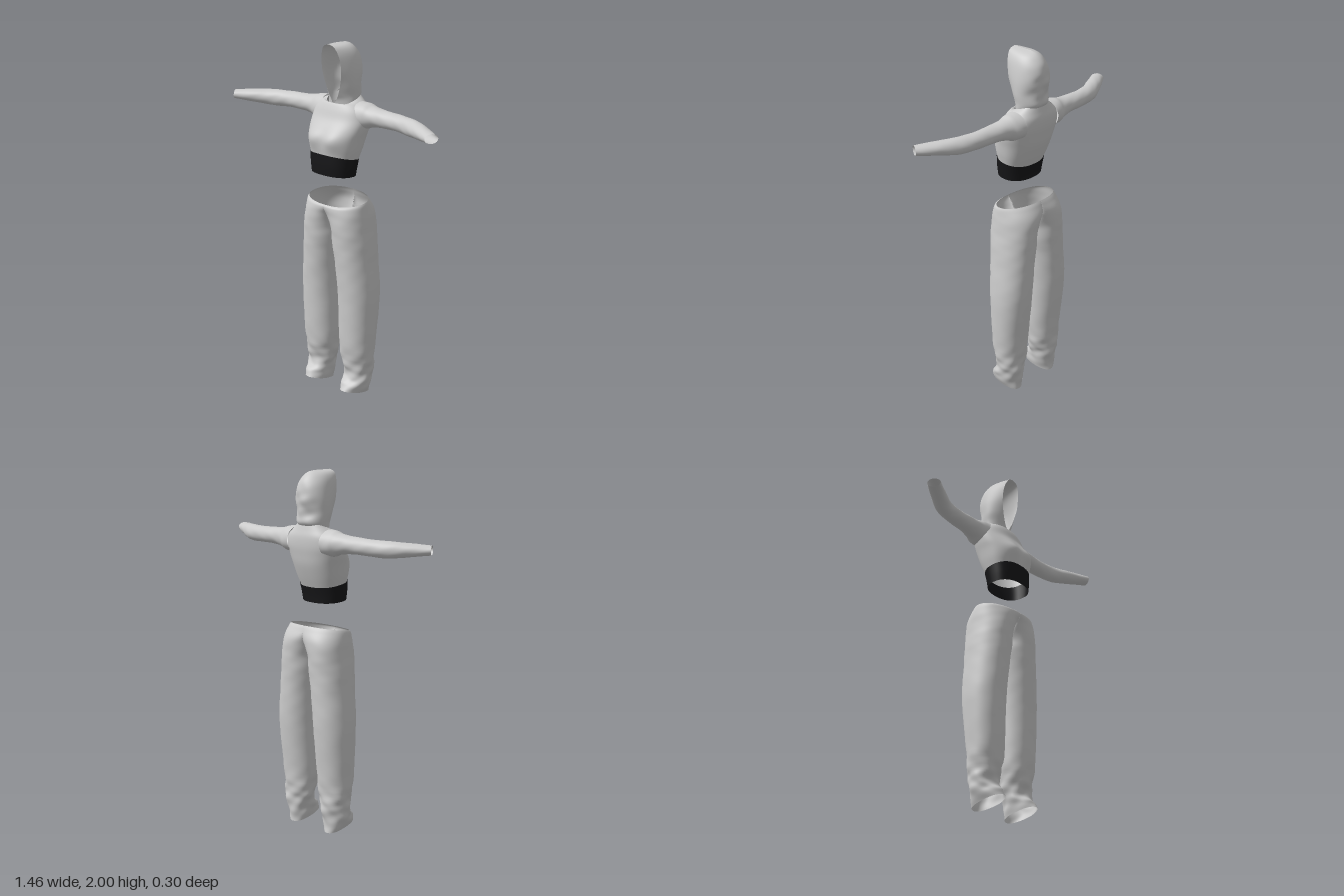
import * as THREE from 'three';

const TAU = Math.PI * 2;

// Smoothly resample rows of section parameters, n steps between neighbours
function resample(keys, n) {
  const rows = [];
  const key = i => keys[Math.min(keys.length - 1, Math.max(0, i))];
  for (let i = 0; i < keys.length - 1; i++) {
    for (let k = 0; k < n; k++) {
      const t = k / n;
      rows.push(keys[i].map((b, c) => {
        const a = key(i - 1)[c], d = key(i + 1)[c], e = key(i + 2)[c];
        return b + 0.5 * t * (d - a + t * (2 * a - 5 * b + 4 * d - e + t * (3 * (b - d) + e - a)));
      }));
    }
  }
  rows.push(keys[keys.length - 1]);
  return rows;
}

// Skin a list of cross-sections; keep() may drop single quads
function loft(rings, { closed = true, flip = false, keep = () => true } = {}) {
  const m = rings[0].length, index = [];
  for (let i = 0; i < rings.length - 1; i++) {
    for (let j = 0; j < (closed ? m : m - 1); j++) {
      const k = (j + 1) % m;
      if (!keep([rings[i][j], rings[i][k], rings[i + 1][k], rings[i + 1][j]])) continue;
      const a = i * m + j, b = i * m + k, c = b + m, d = a + m;
      if (flip) index.push(a, c, b, a, d, c);
      else index.push(a, b, c, a, c, d);
    }
  }
  const g = new THREE.BufferGeometry();
  g.setAttribute('position', new THREE.Float32BufferAttribute(rings.flat(2), 3));
  g.setIndex(index);
  g.computeVertexNormals();
  return g;
}

const angles = n => Array.from({ length: n }, (_, i) => i / n * TAU);
const soft = (v, p) => Math.sign(v) * Math.abs(v) ** p;
const bump = (d, r) => Math.exp(-d * d / (r * r));

// Cloth folds as a sum of slanted waves
const folds = (a, y, seed) =>
  Math.sin(3 * a + y * 38 + seed) + 0.7 * Math.sin(5 * a - y * 62 + seed * 2) + 0.4 * Math.sin(2 * a + y * 110);

// Body sections: y, half width, front z, back z, front rise
function bodyRings(keys, bust) {
  return resample(keys, 5).map(([y, w, zf, zb, rise]) => angles(64).map(a => {
    const x = w * soft(Math.sin(a), 0.85), c = soft(Math.cos(a), 0.85);
    let z = (zf + zb) / 2 + c * (zf - zb) / 2;
    if (c > 0) z += bust * c * bump(Math.abs(x) - 0.075, 0.06) * bump(y - 1.49, 0.06);
    return [x, y + rise * Math.cos(a), z];
  }));
}

// Trouser half: y, centre x, radius x, centre z, radius z, front rise; cut at the middle seam
const legKeys = [
  [0.025, 0.136, 0.058, 0.02, 0.098, 0.025],
  [0.07, 0.14, 0.072, 0.01, 0.088, 0.015],
  [0.13, 0.14, 0.08, -0.012, 0.076, 0],
  [0.2, 0.135, 0.091, -0.01, 0.082, 0],
  [0.32, 0.134, 0.102, -0.006, 0.096, 0],
  [0.6, 0.135, 0.11, -0.015, 0.118, 0],
  [0.8, 0.12, 0.108, -0.012, 0.128, 0],
  [0.92, 0.107, 0.111, -0.01, 0.134, 0],
  [1.0, 0.1, 0.108, -0.009, 0.138, 0],
  [1.08, 0.075, 0.125, -0.008, 0.138, -0.003],
  [1.13, 0.03, 0.162, 0.003, 0.127, -0.012],
  [1.148, 0, 0.186, 0.004, 0.116, -0.018],
];
function legGeometry(side) {
  const rings = resample(legKeys, 7).map(([y, cx, rx, cz, rz, rise]) => angles(72).map(a => {
    const amp = 0.004 + 0.04 * bump(y - 0.12, 0.13) * Math.min(1, y / 0.08);
    const r = 1 + amp * folds(a, y, side);
    const x = Math.max(0, cx + rx * r * soft(Math.sin(a), 0.92));
    return [side * x, y + rise * Math.cos(a), cz + rz * r * soft(Math.cos(a), 0.92)];
  }));
  return loft(rings, { flip: side < 0, keep: q => q.some(p => Math.abs(p[0]) > 1e-6) });
}

// Sleeve: centre x, y, z, radius y, radius across, turn towards the front
const sleeveKeys = [
  [0.12, 1.622, -0.043, 0.072, 0.082, 0],
  [0.17, 1.622, -0.045, 0.069, 0.072, 0],
  [0.21, 1.624, -0.044, 0.056, 0.06, 0],
  [0.28, 1.625, -0.04, 0.047, 0.052, 0.05],
  [0.4, 1.623, -0.034, 0.044, 0.047, 0.12],
  [0.5, 1.62, -0.012, 0.045, 0.046, 0.38],
  [0.6, 1.623, 0.037, 0.037, 0.043, 0.5],
  [0.709, 1.626, 0.098, 0.025, 0.037, 0.53],
];
function sleeveGeometry(side) {
  const rings = resample(sleeveKeys, 6).map(([x, y, z, ry, rz, turn]) => angles(36).map(a => {
    const r = 1 + 0.01 * folds(a, x, 1), s = rz * r * Math.sin(a);
    return [side * (x - Math.sin(turn) * s), y + ry * r * Math.cos(a), z + Math.cos(turn) * s];
  }));
  return loft(rings, { flip: side < 0 });
}

// Hood: y, half width, half opening, front z, back z; open U sections that close along the crown
const hoodKeys = [
  [1.665, 0.085, 0, 0.047, -0.095],
  [1.7, 0.091, 0.018, 0.042, -0.11],
  [1.73, 0.094, 0.034, 0.045, -0.128],
  [1.78, 0.099, 0.052, 0.05, -0.122],
  [1.85, 0.098, 0.068, 0.058, -0.136],
  [1.92, 0.086, 0.066, 0.066, -0.13],
  [1.965, 0.068, 0.052, 0.075, -0.105],
  [1.99, 0.042, 0.032, 0.08, -0.075],
  [2.0, 0, 0, 0.08, -0.04],
];
function hoodGeometry() {
  const n = 48;
  const rings = resample(hoodKeys, 6).map(([y, w, e, zf, zb]) => Array.from({ length: n + 1 }, (_, i) => {
    const t = 1 - 2 * i / n, s = Math.abs(t), zc = (zf + zb) / 2;
    if (s > 0.5) {
      const u = s * 2 - 1;
      return [Math.sign(t) * (w + (e - w) * u * u), y, zc + (zf - zc) * u];
    }
    const r = 1 + 0.035 * folds(t * 4, y, 2) * Math.cos(Math.PI * s) * bump(y - 1.8, 0.12);
    return [w * Math.sin(Math.PI * t), y, zc - (zc - zb) * r * Math.cos(Math.PI * s)];
  }));
  return loft(rings, { closed: false });
}

export function createModel() {
  const model = new THREE.Group();
  model.name = 'outfit';
  const cloth = new THREE.MeshStandardMaterial({ color: 0xcccccc, side: THREE.DoubleSide });
  const black = new THREE.MeshStandardMaterial({ color: 0x161618, side: THREE.DoubleSide });
  const top = new THREE.Group(), trousers = new THREE.Group();
  top.name = 'hoodedTop';
  trousers.name = 'trousers';
  model.add(top, trousers);
  const add = (parent, name, geometry, material = cloth) => {
    const mesh = new THREE.Mesh(geometry, material);
    mesh.name = name;
    parent.add(mesh);
  };

  // Cropped body with a V-shaped neck
  add(top, 'body', loft(bodyRings([
    [1.39, 0.139, 0.132, -0.06, 0.022],
    [1.44, 0.152, 0.137, -0.085, 0.014],
    [1.5, 0.163, 0.135, -0.11, 0.005],
    [1.55, 0.174, 0.115, -0.122, 0],
    [1.6, 0.178, 0.085, -0.13, 0],
    [1.65, 0.163, 0.065, -0.13, 0],
    [1.685, 0.125, 0.048, -0.12, -0.004],
    [1.702, 0.092, 0.04, -0.108, -0.03],
  ], 0.02)));

  // Black elastic waistband
  add(top, 'waistband', loft(bodyRings([
    [1.293, 0.129, 0.136, -0.05, 0.008],
    [1.34, 0.136, 0.139, -0.055, 0.014],
    [1.393, 0.143, 0.137, -0.064, 0.022],
  ], 0)), black);

  add(top, 'hood', hoodGeometry());

  // Mirrored sleeves and trouser halves
  for (const [side, label] of [[1, 'left'], [-1, 'right']]) {
    add(top, label + 'Sleeve', sleeveGeometry(side));
    add(trousers, label + 'Leg', legGeometry(side));
  }
  return model;
}
